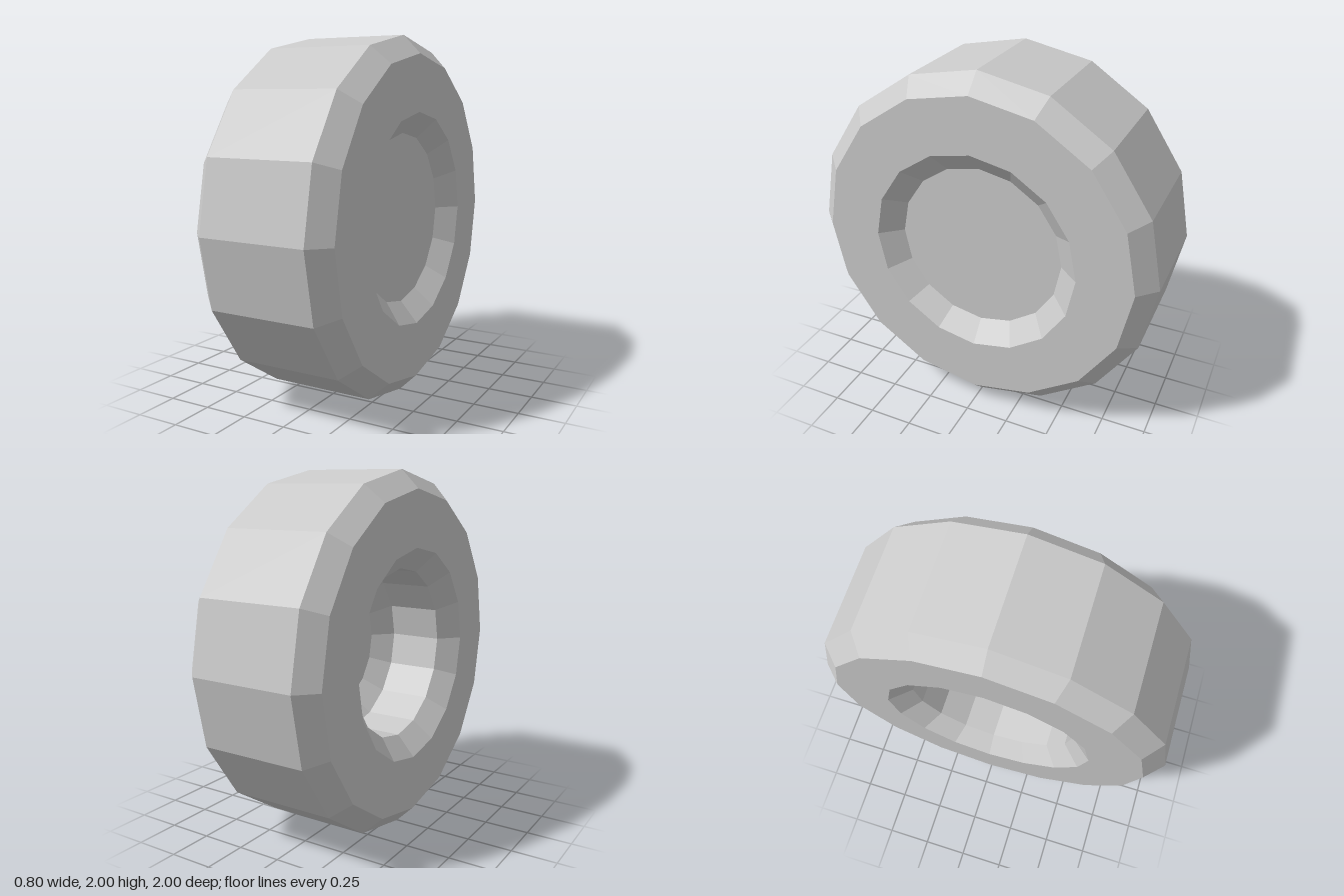
import * as THREE from 'three';

const SIDES = 16;
const material = new THREE.MeshStandardMaterial({ color: 0xcccccc, flatShading: true });

// Revolve [radius, x] pairs about the x axis, listed from -x round to +x
function revolve(name, profile) {
  const points = profile.map(([r, x]) => new THREE.Vector2(r, x));
  const geometry = new THREE.LatheGeometry(points, SIDES).rotateZ(-Math.PI / 2);
  const mesh = new THREE.Mesh(geometry, material);
  mesh.name = name;
  return mesh;
}

export function createModel() {
  const wheel = new THREE.Group();
  wheel.name = 'wheel';

  // Tyre: sidewalls, bevelled shoulders and flat tread
  const tyre = revolve('tyre', [
    [0.59, -0.4], [0.9, -0.4], [1, -0.3], [1, 0.3], [0.9, 0.4], [0.59, 0.4],
  ]);

  // Outer hub: bevelled lip around a shallow recessed disc
  const outerHub = revolve('outerHub', [[0.59, 0.4], [0.475, 0.3], [0, 0.3]]);

  // Inner hub: bevelled lip and a deep axle well with a bevelled floor
  const innerHub = revolve('innerHub', [
    [0, 0.1], [0.365, 0.1], [0.475, 0], [0.475, -0.3], [0.59, -0.4],
  ]);

  wheel.add(tyre, outerHub, innerHub);
  wheel.position.y = 1;

  const model = new THREE.Group();
  model.add(wheel);
  return model;
}
